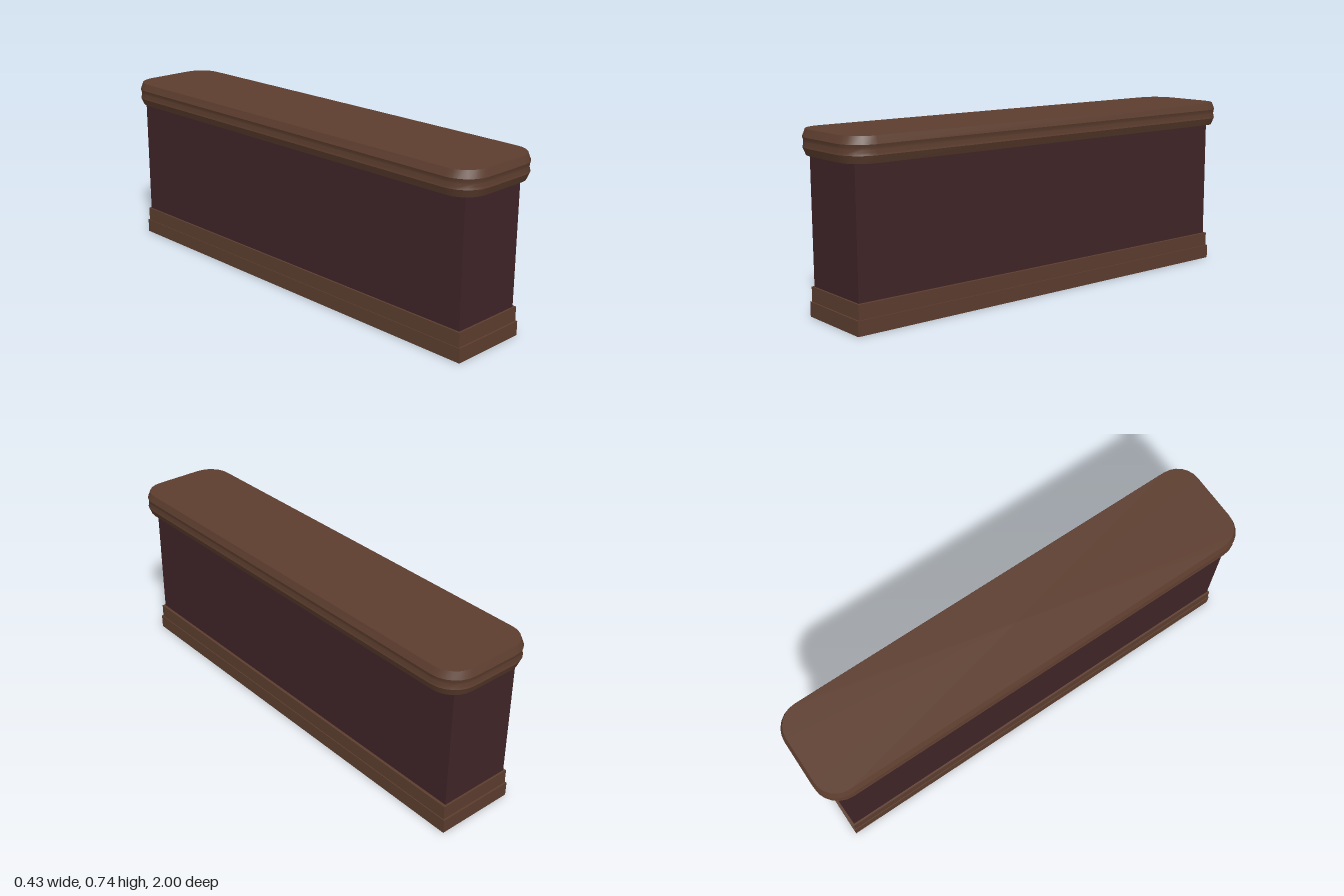
import * as THREE from 'three';
import { toCreasedNormals } from 'three/addons/utils/BufferGeometryUtils.js';

// Horizontal rounded rectangle: x from x0 to x1, z from -z to z, at height y
function ring({ x0, x1, z, y, r = 0 }, seg) {
  const pts = [];
  const corners = [[x1 - r, z - r], [x0 + r, z - r], [x0 + r, r - z], [x1 - r, r - z]];
  corners.forEach(([cx, cz], k) => {
    for (let i = 0; i <= seg; i++) {
      const t = (k + (seg ? i / seg : 0)) * Math.PI / 2;
      pts.push([cx + r * Math.cos(t), y, cz + r * Math.sin(t)]);
    }
  });
  return pts;
}

// Skin a stack of rings, optionally closed at both ends
function loft(sections, seg, closed) {
  const rings = sections.map(s => ring(s, seg));
  const n = rings[0].length;
  const pos = rings.flat(2);
  const index = [];
  for (let i = 0; i < rings.length - 1; i++) {
    for (let j = 0; j < n; j++) {
      const a = i * n + j, b = i * n + (j + 1) % n;
      index.push(a, a + n, b, b, a + n, b + n);
    }
  }
  if (closed) {
    const last = (rings.length - 1) * n;
    const c = pos.length / 3;
    pos.push(0, sections[0].y, 0, 0, sections[sections.length - 1].y, 0);
    for (let j = 0; j < n; j++) {
      const k = (j + 1) % n;
      index.push(c, j, k, c + 1, last + k, last + j);
    }
  }
  const g = new THREE.BufferGeometry();
  g.setAttribute('position', new THREE.Float32BufferAttribute(pos, 3));
  g.setIndex(index);
  return toCreasedNormals(g, 0.44);
}

export function createModel() {
  const group = new THREE.Group();
  const wood = new THREE.MeshStandardMaterial({ color: 0x5c3d2e, side: THREE.DoubleSide });
  wood.name = 'brownWood';
  const panel = new THREE.MeshStandardMaterial({ color: 0x3f2427, side: THREE.DoubleSide });
  panel.name = 'darkMaroon';

  const add = (name, geometry, material) => {
    const mesh = new THREE.Mesh(geometry, material);
    mesh.name = name;
    group.add(mesh);
  };

  // Hollow body walls, open underneath
  const wall = { x0: -0.169, x1: 0.151, z: 0.95 };
  add('bodyWalls', loft([{ ...wall, y: 0.12 }, { ...wall, y: 0.64 }], 0, false), panel);

  // Stepped skirting, a thin shell around the foot of the body
  const lower = { x0: -0.18, x1: 0.167, z: 0.965 };
  const upper = { x0: -0.177, x1: 0.163, z: 0.958 };
  add('skirting', loft([
    { ...lower, y: 0 }, { ...lower, y: 0.06 },
    { ...upper, y: 0.06 }, { ...upper, y: 0.12 },
    { ...wall, y: 0.12 },
  ], 0, false), wood);

  // Counter top with bevelled edges and a shallow groove: [height, inset]
  const profile = [[0.64, 0.012], [0.67, 0], [0.68, 0.003], [0.69, 0.004], [0.70, 0.003], [0.71, 0], [0.74, 0.012]];
  add('counterTop', loft(profile.map(([y, d]) => (
    { x0: d - 0.215, x1: 0.215 - d, z: 1 - d, y, r: 0.11 - d }
  )), 6, true), wood);

  return group;
}
